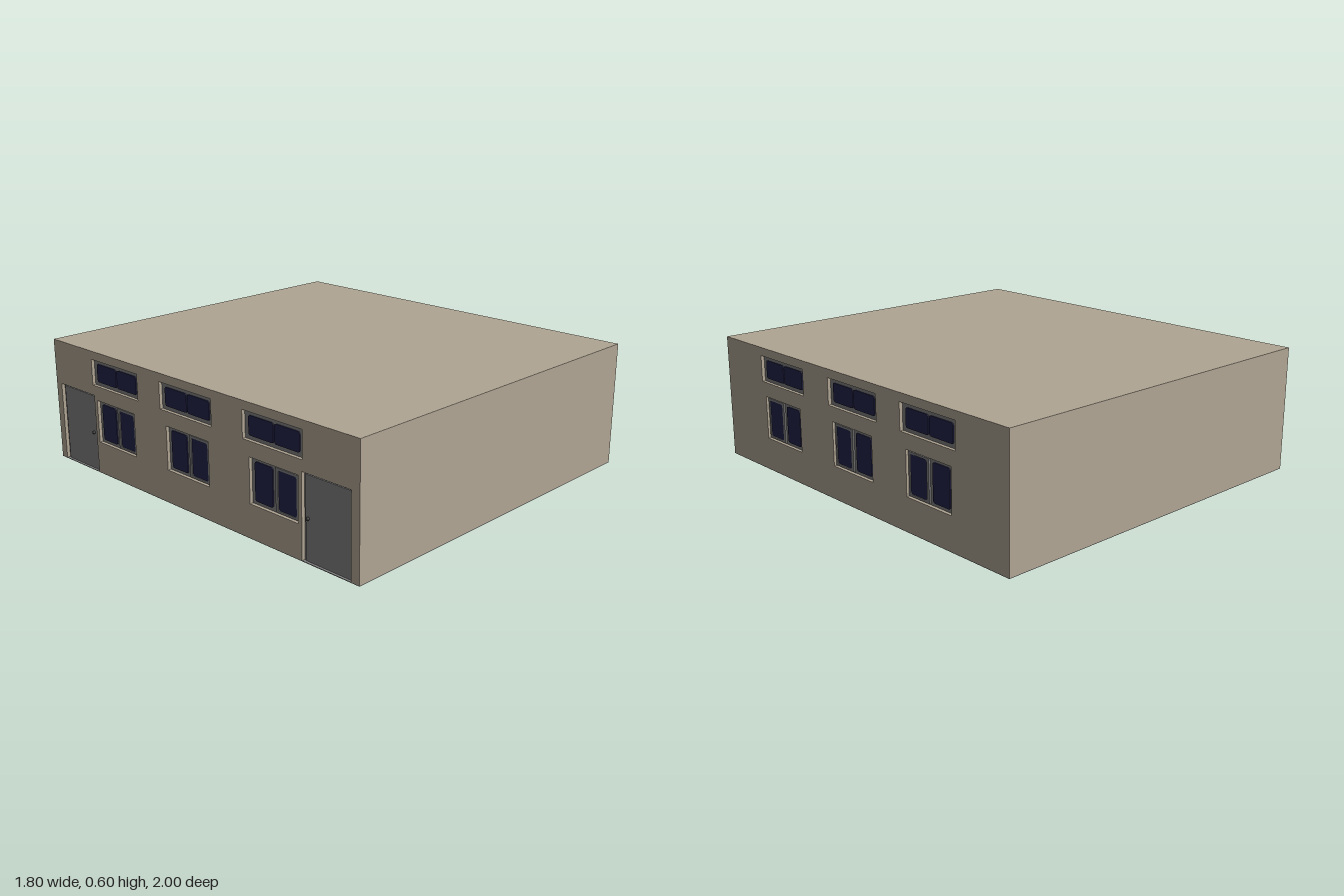
import * as THREE from 'three';

const tan = new THREE.MeshStandardMaterial({ color: 0xb0a594 });
tan.name = 'tan wall';
const grey = new THREE.MeshStandardMaterial({ color: 0x7f7f7f });
grey.name = 'grey frame';
const blue = new THREE.MeshStandardMaterial({ color: 0x23234a });
blue.name = 'dark blue glass';
const dark = new THREE.MeshStandardMaterial({ color: 0x3a3a3a });
dark.name = 'dark metal';

const HALF_W = 0.9, HALF_L = 1, HEIGHT = 0.6, RECESS = 0.02, INNER = HALF_W - RECESS, FLOOR = 0.003;

// Rectangle in the (z, y) plane of a side wall, optionally with rounded corners
function rect(z0, z1, y0, y1, r = 0, Type = THREE.Shape) {
  const s = new Type();
  if (!r) {
    s.moveTo(z0, y0); s.lineTo(z1, y0); s.lineTo(z1, y1); s.lineTo(z0, y1); s.closePath();
    return s;
  }
  s.moveTo(z0 + r, y0);
  s.lineTo(z1 - r, y0); s.quadraticCurveTo(z1, y0, z1, y0 + r);
  s.lineTo(z1, y1 - r); s.quadraticCurveTo(z1, y1, z1 - r, y1);
  s.lineTo(z0 + r, y1); s.quadraticCurveTo(z0, y1, z0, y1 - r);
  s.lineTo(z0, y0 + r); s.quadraticCurveTo(z0, y0, z0 + r, y0);
  return s;
}

// Slab of a (z, y) shape standing out from |x| = base on the given side
function slab(name, shape, side, base, depth, material) {
  const g = new THREE.ExtrudeGeometry(shape, { depth, bevelEnabled: false, curveSegments: 3 });
  g.rotateY(-Math.PI / 2);
  g.translate(side > 0 ? base + depth : -base, 0, 0);
  const m = new THREE.Mesh(g, material);
  m.name = name;
  return m;
}

function box(name, w, h, d, x, y, z, material) {
  const m = new THREE.Mesh(new THREE.BoxGeometry(w, h, d), material);
  m.name = name;
  m.position.set(x, y, z);
  return m;
}

// Window bays: start z of the upper and of the lower window
const bays = [[0.695, 0.67], [0.155, 0.13], [-0.35, -0.385]];
const UPPER = { w: 0.345, y0: 0.435, y1: 0.56 };
const LOWER = { w: 0.283, y0: 0.158, y1: 0.365 };
const doors = [
  { z0: -0.96, z1: -0.69, knob: -0.725 },
  { z0: 0.69, z1: 0.955, knob: 0.715 },
];
const DOOR_TOP = 0.385;

function windowPair(side, bay) {
  const g = new THREE.Group();
  g.name = 'windowBay';
  const [u, l] = bay;
  g.add(slab('upperFrame', rect(u - UPPER.w, u, UPPER.y0, UPPER.y1), side, INNER, 0.004, grey));
  g.add(slab('lowerFrame', rect(l - LOWER.w, l, LOWER.y0, LOWER.y1), side, INNER, 0.004, grey));
  // Wide panes above
  for (const [a, b] of [[0.025, 0.168], [0.174, 0.32]])
    g.add(slab('upperPane', rect(u - b, u - a, 0.453, 0.54, 0.012), side, INNER + 0.004, 0.005, blue));
  // Tall panes below
  for (const [a, b] of [[0.016, 0.122], [0.156, 0.262]])
    g.add(slab('lowerPane', rect(l - b, l - a, 0.173, 0.348, 0.012), side, INNER + 0.004, 0.005, blue));
  // Raised sash around one of the tall panes
  const sash = rect(l - 0.137, l - 0.006, 0.163, 0.358);
  sash.holes.push(rect(l - 0.122, l - 0.016, 0.173, 0.348, 0.012, THREE.Path));
  g.add(slab('openingSash', sash, side, INNER + 0.004, 0.008, grey));
  return g;
}

function door(side, { z0, z1, knob }) {
  const g = new THREE.Group();
  g.name = 'door';
  g.add(slab('doorFrame', rect(z0, z1, FLOOR, DOOR_TOP), side, INNER, 0.003, grey));
  g.add(slab('doorLeaf', rect(z0 + 0.01, z1 - 0.01, FLOOR, DOOR_TOP - 0.01), side, INNER + 0.003, 0.005, grey));
  const k = new THREE.Mesh(new THREE.SphereGeometry(0.008, 12, 8), dark);
  k.name = 'doorKnob';
  k.position.set(side * (INNER + 0.012), 0.19, knob);
  g.add(k);
  return g;
}

function sideWall(side, wallDoors) {
  const g = new THREE.Group();
  g.name = side > 0 ? 'leftSide' : 'rightSide';
  // Wall skin with door notches and window openings
  const s = new THREE.Shape();
  s.moveTo(-HALF_L, FLOOR);
  for (const d of wallDoors) {
    s.lineTo(d.z0, FLOOR); s.lineTo(d.z0, DOOR_TOP);
    s.lineTo(d.z1, DOOR_TOP); s.lineTo(d.z1, FLOOR);
  }
  s.lineTo(HALF_L, FLOOR); s.lineTo(HALF_L, HEIGHT); s.lineTo(-HALF_L, HEIGHT);
  s.closePath();
  for (const [u, l] of bays) {
    s.holes.push(rect(u - UPPER.w, u, UPPER.y0, UPPER.y1, 0, THREE.Path));
    s.holes.push(rect(l - LOWER.w, l, LOWER.y0, LOWER.y1, 0, THREE.Path));
  }
  g.add(slab('wallSkin', s, side, INNER, RECESS, tan));
  for (const bay of bays) g.add(windowPair(side, bay));
  for (const d of wallDoors) g.add(door(side, d));
  return g;
}

export function createModel() {
  const model = new THREE.Group();
  model.name = 'flatRoofedBuilding';
  model.add(box('buildingCore', 2 * INNER, HEIGHT - FLOOR, 2 * HALF_L, 0, (HEIGHT + FLOOR) / 2, 0, tan));
  model.add(box('floorSlab', 2 * HALF_W, FLOOR, 2 * HALF_L, 0, FLOOR / 2, 0, grey));
  model.add(sideWall(1, []));
  model.add(sideWall(-1, doors));
  return model;
}
